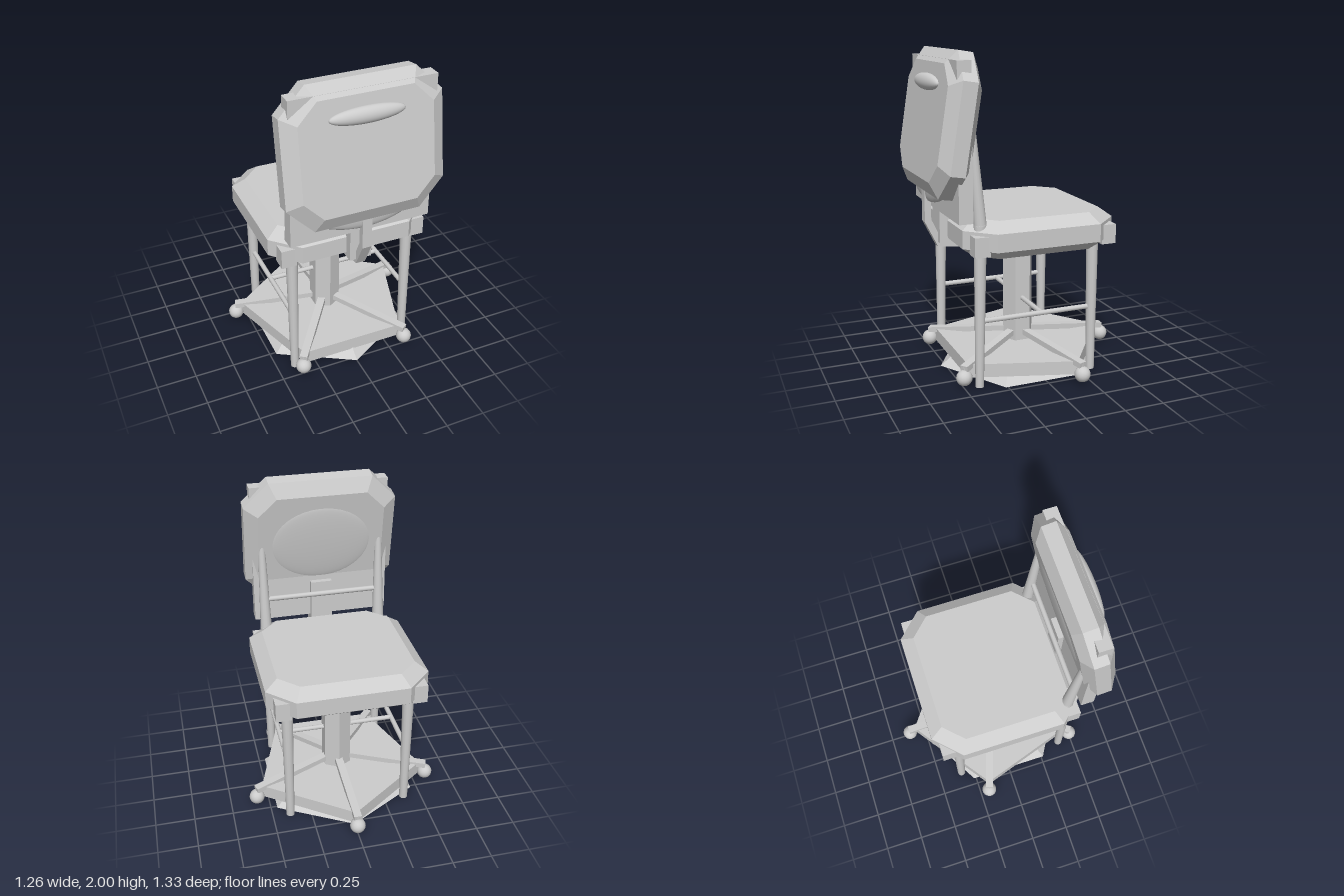
import * as THREE from 'three';
import { ConvexGeometry } from 'three/addons/geometries/ConvexGeometry.js';

const grey = new THREE.MeshStandardMaterial({ color: 0xcccccc });
grey.name = 'light grey';

const V = (x, y, z) => new THREE.Vector3(x, y, z);

export function createModel() {
  const model = new THREE.Group();
  model.name = 'chair';

  function add(name, geometry, x = 0, y = 0, z = 0, parent = model) {
    const mesh = new THREE.Mesh(geometry, grey);
    mesh.name = name;
    mesh.position.set(x, y, z);
    parent.add(mesh);
    return mesh;
  }

  // Box given by its limits
  function box(name, x0, x1, y0, y1, z0, z1) {
    return add(name, new THREE.BoxGeometry(x1 - x0, y1 - y0, z1 - z0),
      (x0 + x1) / 2, (y0 + y1) / 2, (z0 + z1) / 2);
  }

  // Tapered round bar between two points
  function bar(name, a, b, ra, rb, sides = 14) {
    const mesh = add(name, new THREE.CylinderGeometry(rb, ra, a.distanceTo(b), sides));
    mesh.position.copy(a).lerp(b, 0.5);
    mesh.quaternion.setFromUnitVectors(V(0, 1, 0), b.clone().sub(a).normalize());
    return mesh;
  }

  // Bevelled slab with cut corners, its thickness along z
  function cushion(halfW, halfH, rim, face, inset) {
    const points = [];
    for (const [z, d] of [[-face, inset], [-rim, 0], [rim, 0], [face, inset]]) {
      const w = halfW - d, h = halfH - d, cut = 0.16 - d / 2;
      for (const sx of [-1, 1]) for (const sy of [-1, 1]) {
        points.push(V(sx * w, sy * (h - cut), z), V(sx * (w - cut), sy * h, z));
      }
    }
    return new ConvexGeometry(points);
  }

  function ellipsoid(name, rx, ry, rz, x, y, z, parent) {
    const g = new THREE.SphereGeometry(1, 32, 20).scale(rx, ry, rz);
    return add(name, g, x, y, z, parent);
  }

  // Seat, corner blocks and mounting plate
  add('seat', cushion(0.51, 0.49, 0.055, 0.115, 0.08), 0, 0.915, 0).rotation.x = -Math.PI / 2;
  for (const sx of [-1, 1]) for (const sz of [-1, 1]) {
    const block = box('seatCornerBlock', 0.375, 0.47, 0.83, 0.95, 0.36, 0.455);
    block.position.x *= sx;
    block.position.z *= sz;
  }
  box('seatMountPlate', -0.225, 0.225, 0.775, 0.81, -0.2, 0.245);

  // Tilted backrest with handle and lumbar bulges
  const back = new THREE.Group();
  back.name = 'backrest';
  back.position.set(0, 1.575, 0.515);
  back.rotation.x = -0.158;
  model.add(back);
  add('backCushion', cushion(0.49, 0.425, 0.045, 0.1, 0.085), 0, 0, 0, back);
  ellipsoid('backHandle', 0.23, 0.05, 0.04, 0, 0.22, 0.1, back);
  ellipsoid('lumbarPad', 0.33, 0.26, 0.02, 0, 0.0, -0.095, back);
  ellipsoid('lowerBackShell', 0.47, 0.31, 0.06, 0, -0.18, 0, back);

  // Upright panel behind the cushion and the plate tying it to the seat
  box('backPanel', -0.445, 0.445, 1.03, 1.95, 0.455, 0.54);
  box('backTiePlate', -0.07, 0.07, 0.83, 1.28, 0.42, 0.54);

  // Bent support arm from under the seat to the backrest
  const arm = new THREE.Shape([
    [0.22, 0.765], [0.54, 0.8], [0.62, 0.96], [0.62, 1.2],
    [0.58, 1.2], [0.58, 0.975], [0.515, 0.84], [0.22, 0.8],
  ].map(([z, y]) => new THREE.Vector2(-z, y)));
  const armGeometry = new THREE.ExtrudeGeometry(arm, { depth: 0.06, bevelEnabled: false });
  armGeometry.translate(0, 0, -0.03).rotateY(Math.PI / 2);
  add('backSupportArm', armGeometry);

  // Legs, back posts and side stretchers
  for (const s of [-1, 1]) {
    const x = 0.385 * s;
    bar('frontLeg', V(x, 0, -0.338), V(x, 0.86, -0.338), 0.027, 0.037);
    bar('backLeg', V(x, 0, 0.406), V(x, 1.0, 0.392), 0.026, 0.039);
    bar('backPost', V(x, 1.0, 0.392), V(x, 1.56, 0.437), 0.038, 0.022);
    ellipsoid('postBend', 0.038, 0.038, 0.038, x, 1.0, 0.392);
    ellipsoid('postTip', 0.022, 0.022, 0.022, x, 1.56, 0.437);
    bar('sideStretcher', V(x, 0.415, 0.39), V(x, 0.415, -0.33), 0.016, 0.016, 10);
  }
  bar('crossStretcher', V(-0.385, 0.415, 0), V(0.385, 0.415, 0), 0.016, 0.016, 10);
  bar('backRail', V(-0.385, 1.2, 0.41), V(0.385, 1.2, 0.41), 0.017, 0.017, 10);

  // Six-sided column and foot plate, five-sided base
  add('column', new THREE.CylinderGeometry(0.1, 0.1, 0.74, 6).toNonIndexed(), 0, 0.41, 0)
    .geometry.computeVertexNormals();
  add('footPlate', new THREE.CylinderGeometry(0.45, 0.53, 0.06, 6).toNonIndexed(), 0, 0.03, 0)
    .geometry.computeVertexNormals();
  const base = new THREE.CylinderGeometry(0.57, 0.57, 0.085, 5).toNonIndexed();
  base.rotateY(Math.PI);
  base.computeVertexNormals();
  add('basePlate', base, 0, 0.0875, 0);

  // Five sloping arms with ball casters
  for (let i = 0; i < 5; i++) {
    const spoke = new THREE.Group();
    spoke.name = 'baseSpoke';
    spoke.rotation.y = Math.PI + (i * Math.PI * 2) / 5;
    model.add(spoke);
    const beam = add('spokeBeam', new THREE.BoxGeometry(0.05, 0.035, 0.58), 0, 0.152, 0.325, spoke);
    beam.rotation.x = 0.115;
    const ball = new THREE.IcosahedronGeometry(0.05, 2);
    add('caster', ball, 0, 0.06, 0.61, spoke);
    add('casterStem', new THREE.CylinderGeometry(0.015, 0.015, 0.07, 8), 0, 0.1, 0.6, spoke);
  }

  return model;
}
